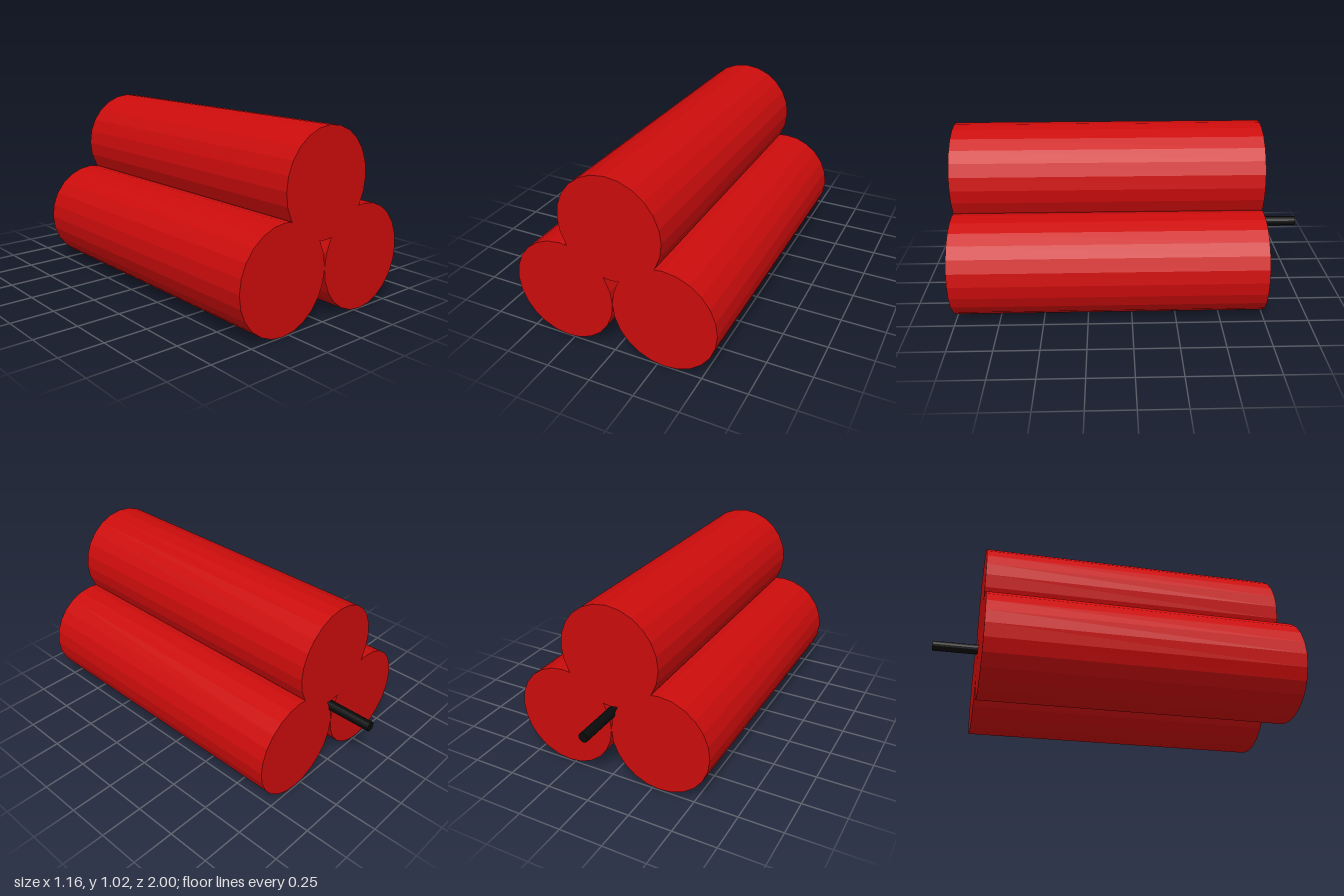
import * as THREE from 'three';

const RADIUS = 0.291;
const FRONT = 1;
const BACK = -0.745;

// Closed cylinder lying along z between two depths
function rod(name, radius, sides, x, y, zBack, zFront, material) {
  const geometry = new THREE.CylinderGeometry(radius, radius, zFront - zBack, sides);
  geometry.rotateX(Math.PI / 2);
  const mesh = new THREE.Mesh(geometry, material);
  mesh.name = name;
  mesh.position.set(x, y, (zFront + zBack) / 2);
  return mesh;
}

export function createModel() {
  const model = new THREE.Group();
  model.name = 'stickBundle';

  const red = new THREE.MeshStandardMaterial({ color: 0xcc0c0c, flatShading: true });
  const black = new THREE.MeshStandardMaterial({ color: 0x0a0a0a, flatShading: true });

  // Three sticks: two side by side, one resting on top
  const sticks = [
    ['leftStick', RADIUS, RADIUS],
    ['rightStick', -RADIUS, RADIUS],
    ['topStick', 0, 0.73],
  ];
  for (const [name, x, y] of sticks) {
    model.add(rod(name, RADIUS, 24, x, y, BACK, FRONT, red));
  }

  // Fuse coming out of the gap at the back
  model.add(rod('fuse', 0.028, 16, 0, 0.396, -1, -0.65, black));

  return model;
}
